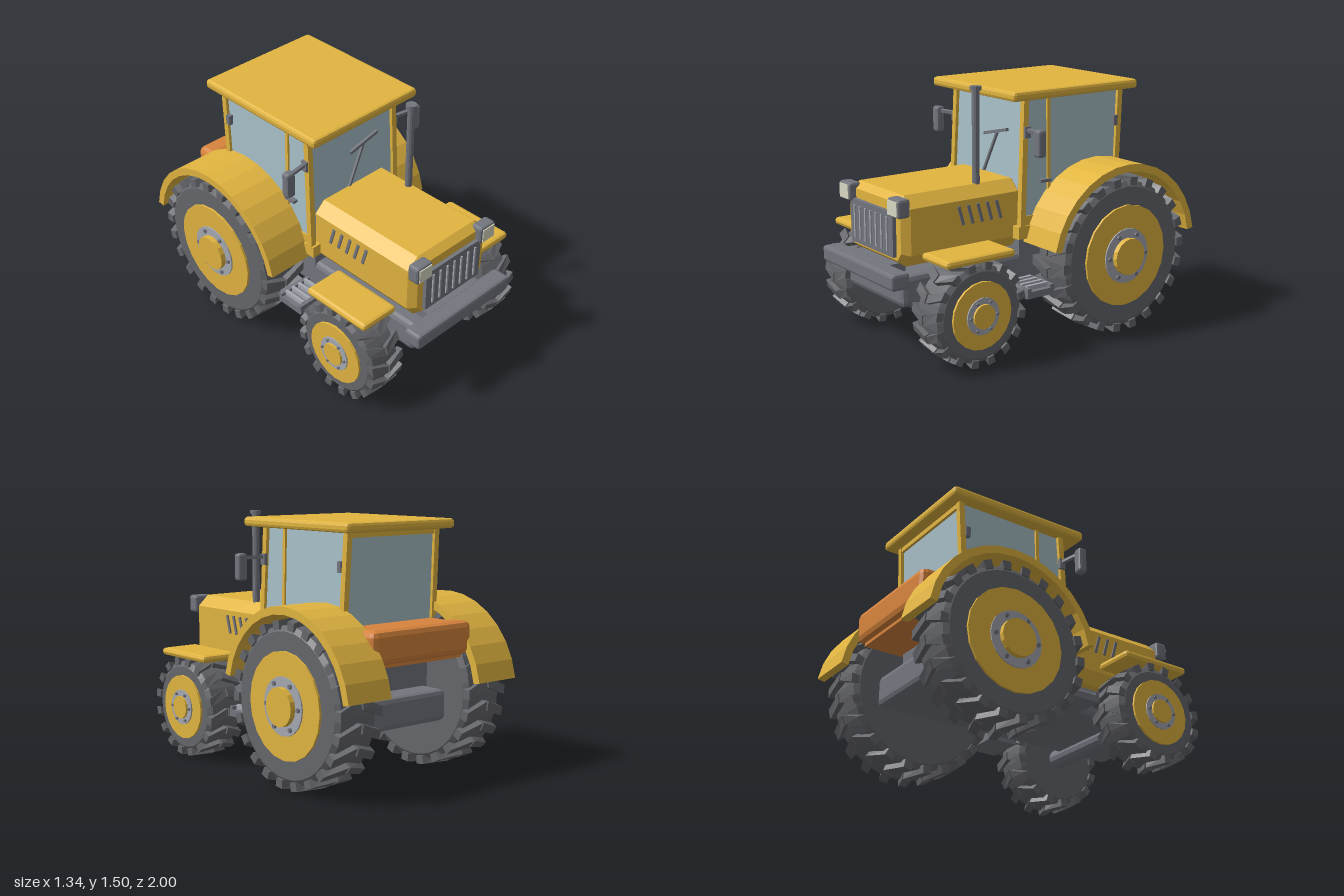
import * as THREE from 'three';
import { mergeGeometries } from 'three/addons/utils/BufferGeometryUtils.js';
import { RoundedBoxGeometry } from 'three/addons/geometries/RoundedBoxGeometry.js';

const paint = (color) => new THREE.MeshStandardMaterial({ color, flatShading: true });
const YELLOW = paint(0xe2b540), GREY = paint(0x74767f), RUBBER = paint(0x66676c), STEEL = paint(0xa6a9b2);
const ORANGE = paint(0xd8843c), GLASS = paint(0xa9c1c9), LAMP = paint(0xdcdac4);

export function createModel() {
  const model = new THREE.Group();

  function add(name, geometry, material, parent = model) {
    const mesh = new THREE.Mesh(geometry, material);
    mesh.name = name;
    parent.add(mesh);
    return mesh;
  }

  // box given by its limits, with optional chamfered edges
  function box(name, mat, [x0, x1], [y0, y1], [z0, z1], bevel = 0) {
    const s = [Math.abs(x1 - x0), y1 - y0, z1 - z0];
    const g = bevel ? new RoundedBoxGeometry(...s, 1, bevel) : new THREE.BoxGeometry(...s);
    g.translate((x0 + x1) / 2, (y0 + y1) / 2, (z0 + z1) / 2);
    return add(name, g, mat);
  }

  // straight bar between two points
  function beam(name, mat, from, to, w, d = w) {
    const a = new THREE.Vector3(...from), b = new THREE.Vector3(...to);
    const mesh = add(name, new THREE.BoxGeometry(w, a.distanceTo(b), d), mat);
    mesh.position.copy(a).add(b).multiplyScalar(0.5);
    mesh.quaternion.setFromUnitVectors(new THREE.Vector3(0, 1, 0), b.sub(a).normalize());
    return mesh;
  }

  // cylinder lying along x
  function disc(name, mat, r, x0, x1, sides, parent = model) {
    const g = new THREE.CylinderGeometry(r, r, Math.abs(x1 - x0), sides);
    g.rotateZ(Math.PI / 2).translate((x0 + x1) / 2, 0, 0);
    return add(name, g, mat, parent);
  }

  // chevron tread: boxes bent around the axle and swept back from the centre
  function treadGeometry(R, depth, half, count) {
    const pitch = (Math.PI * 2) / count, lugs = [];
    for (let i = 0; i < count; i++) {
      for (const s of [-1, 1]) {
        const g = new THREE.BoxGeometry(half - 0.006, 1, 1);
        g.translate(s * (half + 0.006) / 2, 0, 0);
        const p = g.attributes.position;
        for (let k = 0; k < p.count; k++) {
          const x = p.getX(k), t = Math.abs(x) / half;
          const angle = i * pitch + (p.getZ(k) * 0.42 - t * 0.42) * pitch;
          const r = p.getY(k) > 0 ? R - 0.008 * t : R - depth - 0.02;
          p.setXYZ(k, x, r * Math.cos(angle), r * Math.sin(angle));
        }
        lugs.push(g);
      }
    }
    return mergeGeometries(lugs);
  }

  function wheel(name, s, { x, y, z, R, depth, half, lugs, rim, ring, cap, out }) {
    const g = new THREE.Group();
    g.name = name;
    g.position.set(s * x, y, z);
    model.add(g);
    const r = R - depth, w = half - 0.008;
    const profile = [[0, -w], [r - 0.03, -w], [r, -w + 0.02], [r, w - 0.02], [r - 0.03, w], [0, w]];
    const tyre = new THREE.LatheGeometry(profile.map((p) => new THREE.Vector2(...p)), 36);
    add('tyre', tyre.rotateZ(Math.PI / 2), RUBBER, g);
    add('tread', treadGeometry(R, depth, half, lugs), RUBBER, g);
    disc('rim', YELLOW, rim, 0, s * (half + 0.006), 20, g);
    disc('hubRing', STEEL, ring, 0, s * (half + 0.014), 20, g);
    disc('hubCap', YELLOW, cap, 0, s * out, 16, g);
    for (let i = 0; i < 6; i++) {
      const a = (i * Math.PI) / 3, rad = (ring + cap) / 2;
      const bolt = disc('wheelBolt', GREY, ring * 0.08, 0, s * (half + 0.026), 6, g);
      bolt.position.set(0, rad * Math.sin(a), rad * Math.cos(a));
    }
  }

  // chassis, axles and front weight
  box('chassis', GREY, [-0.3, 0.3], [0.325, 0.508], [-0.78, 0.88], 0.03);
  box('cabFloor', GREY, [-0.3, 0.3], [0.45, 0.72], [-0.62, 0.08]);
  box('frontWeight', GREY, [-0.385, 0.385], [0.465, 0.56], [0.885, 1], 0.018);
  box('weightMount', GREY, [-0.2, 0.2], [0.46, 0.56], [0.8, 0.9]);
  disc('frontAxle', GREY, 0.06, -0.42, 0.42, 14).position.set(0, 0.31, 0.567);
  disc('rearAxle', GREY, 0.09, -0.42, 0.42, 14).position.set(0, 0.478, -0.46);

  // hood with chamfered section and bevelled nose
  const half = [[0.25, 0.55], [0.305, 0.62], [0.305, 0.885], [0.235, 0.95]];
  const outline = [...half, ...half.map(([x, y]) => [-x, y]).reverse()];
  const hood = new THREE.ExtrudeGeometry(new THREE.Shape(outline.map((p) => new THREE.Vector2(...p))), {
    depth: 0.73, bevelSegments: 1, bevelThickness: 0.045, bevelSize: 0.035, bevelOffset: -0.035,
  });
  add('hood', hood.translate(0, 0, 0.095), YELLOW);

  // grille
  box('grille', GREY, [-0.225, 0.225], [0.605, 0.86], [0.84, 0.893]);
  for (let i = -3; i <= 3; i++) {
    const x = i * 0.0575;
    box('grilleBar', STEEL, [x - 0.006, x + 0.006], [0.635, 0.83], [0.885, 0.902]);
  }

  // exhaust
  const pipe = add('exhaustPipe', new THREE.CylinderGeometry(0.022, 0.022, 0.58, 12), GREY);
  pipe.position.set(0.22, 1.2, 0.33);
  const tip = add('exhaustCap', new THREE.CylinderGeometry(0.033, 0.033, 0.024, 12), GREY);
  tip.position.set(0.22, 1.492, 0.33);

  // cab glazing, leaning slightly inwards at the top
  const glass = new THREE.BoxGeometry(1, 0.71, 1);
  const p = glass.attributes.position;
  for (let k = 0; k < p.count; k++) {
    const top = p.getY(k) > 0;
    const z = p.getZ(k) > 0 ? (top ? 0.065 : 0.095) : (top ? -0.64 : -0.605);
    p.setXYZ(k, Math.sign(p.getX(k)) * (top ? 0.328 : 0.345), top ? 1.42 : 0.71, z);
  }
  add('cabGlass', glass, GLASS);
  box('roof', YELLOW, [-0.408, 0.408], [1.42, 1.476], [-0.726, 0.2], 0.018);
  beam('rearTopRail', YELLOW, [-0.33, 1.405, -0.64], [0.33, 1.405, -0.64], 0.03);
  beam('frontTopRail', YELLOW, [-0.33, 1.412, 0.066], [0.33, 1.412, 0.066], 0.02);

  // windscreen wiper
  beam('wiperArm', GREY, [-0.035, 0.94, 0.094], [0.09, 1.195, 0.084], 0.014);
  beam('wiperBlade', GREY, [-0.025, 1.175, 0.09], [0.195, 1.226, 0.088], 0.018);

  // rear box
  box('rearBoxNeck', ORANGE, [-0.333, 0.333], [0.7, 0.9], [-0.86, -0.6]);
  box('rearBox', ORANGE, [-0.375, 0.375], [0.72, 0.91], [-0.9, -0.76], 0.035);

  // rear fender arc, seen from the side
  const fenderShape = new THREE.Shape();
  const a0 = 0.16, a1 = Math.PI - 0.2, steps = 14;
  for (let i = 0; i <= steps; i++) {
    const a = a0 + ((a1 - a0) * i) / steps;
    fenderShape[i ? 'lineTo' : 'moveTo'](0.548 * Math.cos(a), 0.548 * Math.sin(a));
  }
  for (let i = steps; i >= 0; i--) {
    const a = a0 + ((a1 - a0) * i) / steps;
    fenderShape.lineTo(0.503 * Math.cos(a), 0.503 * Math.sin(a));
  }

  for (const s of [-1, 1]) {
    const X = (a, b) => [s * a, s * b];

    wheel('frontWheel', s, { x: 0.485, y: 0.31, z: 0.567, R: 0.31, depth: 0.032, half: 0.12, lugs: 16,
      rim: 0.195, ring: 0.107, cap: 0.07, out: 0.147 });
    wheel('rearWheel', s, { x: 0.48, y: 0.478, z: -0.46, R: 0.478, depth: 0.038, half: 0.145, lugs: 22,
      rim: 0.305, ring: 0.166, cap: 0.11, out: 0.19 });

    // fenders
    const fender = new THREE.ExtrudeGeometry(fenderShape, { depth: 0.3, bevelEnabled: false });
    fender.rotateY(Math.PI / 2).translate(s * 0.485 - 0.15, 0.478, -0.46);
    add('rearFender', fender, YELLOW);
    box('frontFender', YELLOW, X(0.352, 0.608), [0.605, 0.65], [0.335, 0.795], 0.02);
    beam('frontFenderBracket', GREY, [s * 0.28, 0.49, 0.567], [s * 0.38, 0.62, 0.567], 0.03);

    // headlight
    box('headlight', GREY, X(0.2, 0.32), [0.842, 0.948], [0.835, 0.912], 0.015);
    box('headlightLens', LAMP, X(0.213, 0.307), [0.854, 0.936], [0.9, 0.917]);

    // slanted hood vents
    for (let i = 0; i < 5; i++) {
      const z = 0.512 - i * 0.065;
      beam('hoodVent', GREY, [s * 0.304, 0.855, z], [s * 0.304, 0.745, z - 0.032], 0.018);
    }

    // cab pillars
    beam('frontPillar', YELLOW, [s * 0.345, 0.66, 0.1], [s * 0.333, 1.425, 0.068], 0.035);
    beam('doorPillar', YELLOW, [s * 0.343, 0.74, -0.1], [s * 0.33, 1.42, -0.1], 0.022);
    beam('rearPillar', YELLOW, [s * 0.342, 0.72, -0.605], [s * 0.33, 1.425, -0.642], 0.035);
    box('pillarFoot', YELLOW, X(0.29, 0.362), [0.61, 0.685], [0.05, 0.13]);
    box('cabSill', YELLOW, X(0.28, 0.352), [0.66, 0.74], [-0.5, 0.09]);

    // door handle and window hinge
    box('doorHandle', GREY, X(0.34, 0.372), [0.928, 0.945], [-0.1, -0.02]);
    box('windowHinge', GREY, X(0.33, 0.36), [1.2, 1.262], [-0.615, -0.585]);

    // mirror
    box('mirrorBracket', GREY, X(0.345, 0.368), [1.2, 1.265], [0.05, 0.09]);
    beam('mirrorArm', GREY, [s * 0.355, 1.246, 0.07], [s * 0.505, 1.246, 0.095], 0.02);
    box('mirror', GREY, X(0.475, 0.535), [1.115, 1.272], [0.068, 0.122], 0.014);

    // slotted step between the wheels
    for (const z of [0.0, 0.165]) box('stepSide', GREY, X(0.29, 0.525), [0.305, 0.365], [z, z + 0.025]);
    box('stepPlate', GREY, X(0.29, 0.525), [0.305, 0.345], [0.01, 0.18]);
    for (let i = 0; i < 4; i++) {
      box('stepTread', STEEL, X(0.325 + i * 0.05, 0.345 + i * 0.05), [0.34, 0.372], [0.02, 0.17]);
    }
  }
  return model;
}
